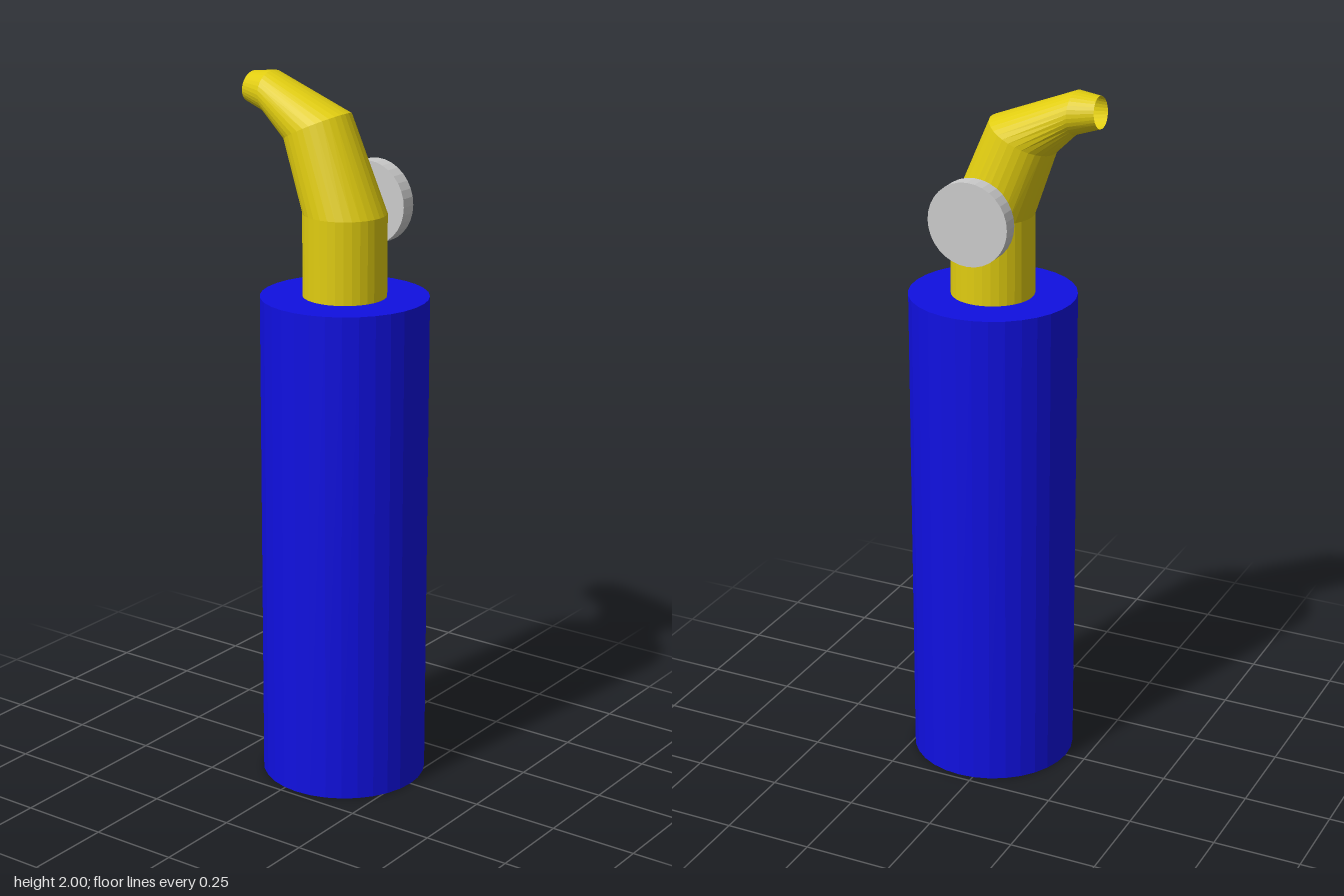
import * as THREE from 'three';

const SIDES = 32;
const AXIS_Z = 0.042;

function material(color, side = THREE.FrontSide) {
  return new THREE.MeshStandardMaterial({ color, flatShading: true, side });
}

// Skin a tube through rings given by half width and their front/top and back/bottom points [y, z].
function loft(rings) {
  const positions = [];
  const indices = [];
  rings.forEach(({ halfWidth, front, back }, r) => {
    for (let i = 0; i <= SIDES; i++) {
      const a = (i / SIDES) * Math.PI * 2;
      const t = (1 + Math.sin(a)) / 2;
      positions.push(
        halfWidth * Math.cos(a),
        THREE.MathUtils.lerp(back[0], front[0], t),
        THREE.MathUtils.lerp(back[1], front[1], t)
      );
      if (r > 0 && i < SIDES) {
        const up = r * (SIDES + 1) + i;
        const low = up - SIDES - 1;
        indices.push(low, up, low + 1, up, up + 1, low + 1);
      }
    }
  });
  const geometry = new THREE.BufferGeometry();
  geometry.setAttribute('position', new THREE.Float32BufferAttribute(positions, 3));
  geometry.setIndex(indices);
  geometry.computeVertexNormals();
  return geometry;
}

export function createModel() {
  const model = new THREE.Group();
  model.name = 'cylinderWithSpout';

  const add = (name, geometry, mat) => {
    const mesh = new THREE.Mesh(geometry, mat);
    mesh.name = name;
    model.add(mesh);
    return mesh;
  };

  // Tall main cylinder
  const body = add('body', new THREE.CylinderGeometry(0.233, 0.233, 1.405, SIDES), material(0x1010e0));
  body.position.set(0, 1.405 / 2, AXIS_Z);

  // Bent neck narrowing to an open mouth at the back
  add('spout', loft([
    { halfWidth: 0.116, front: [1.405, 0.158], back: [1.405, -0.074] },
    { halfWidth: 0.116, front: [1.635, 0.158], back: [1.635, -0.074] },
    { halfWidth: 0.096, front: [1.905, 0.042], back: [1.82, -0.14] },
    { halfWidth: 0.069, front: [2.0, -0.2], back: [1.882, -0.203] },
    { halfWidth: 0.046, front: [1.992, -0.266], back: [1.906, -0.275] },
  ]), material(0xe0cc10, THREE.DoubleSide));

  // Round dial on the left side of the neck
  const dial = add('dial', new THREE.CylinderGeometry(0.117, 0.117, 0.046, SIDES), material(0xcccccc));
  dial.rotation.z = -Math.PI / 2;
  dial.position.set(0.134, 1.644, AXIS_Z);

  return model;
}
